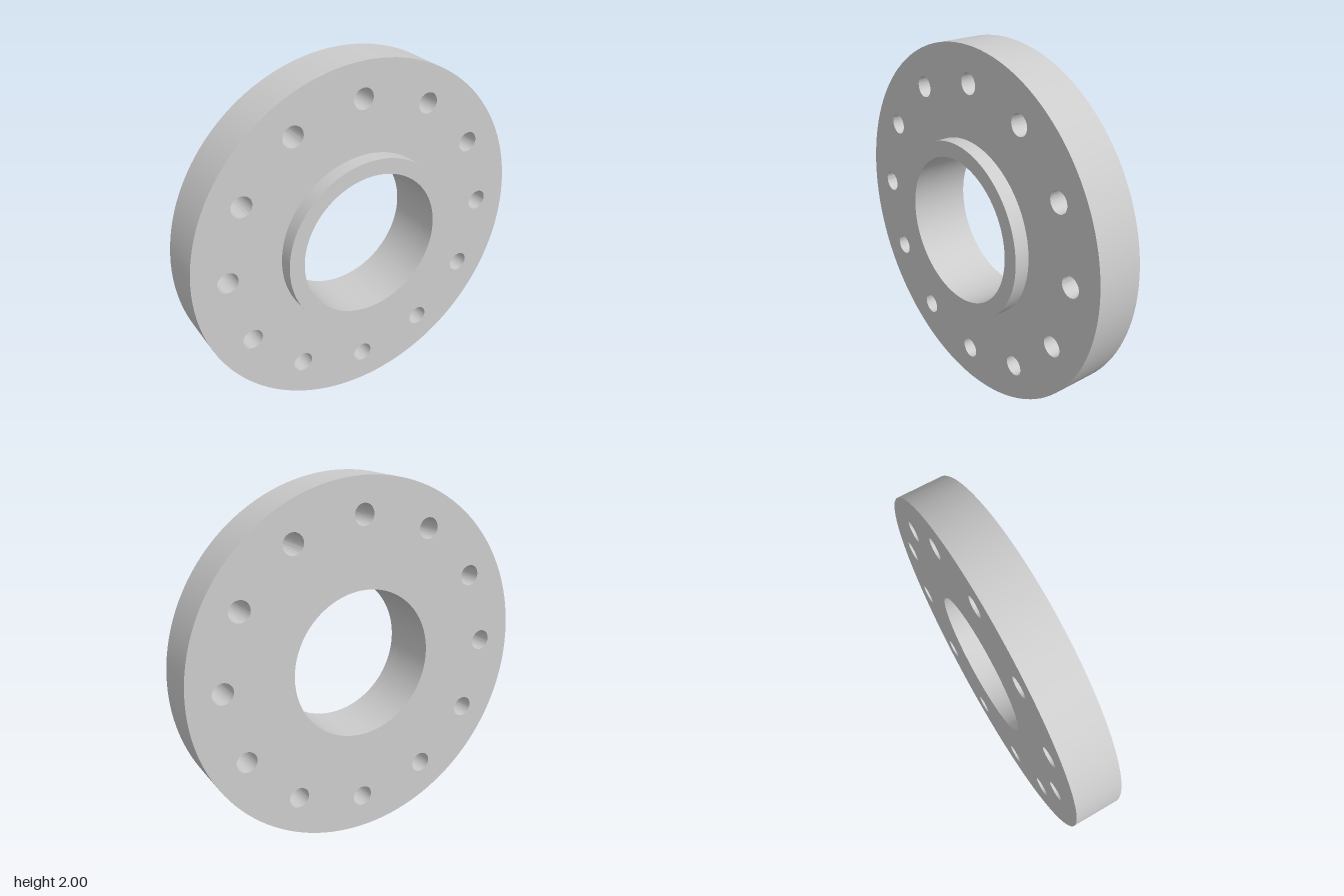
import * as THREE from 'three';
import { toCreasedNormals } from 'three/addons/utils/BufferGeometryUtils.js';

const OUTER = 1, BORE = 0.413, HUB = 0.5;
const BACK = -0.172, FACE = 0.088, FRONT = 0.172;
const BOLT_CIRCLE = 0.805, BOLT_RADIUS = 0.058, BOLTS = 12;

const material = new THREE.MeshStandardMaterial({ color: 0xcccccc });

function circle(PathType, x, y, radius) {
  const path = new PathType();
  path.absarc(x, y, radius, 0, Math.PI * 2, false);
  return path;
}

function addPart(group, name, geometry) {
  const mesh = new THREE.Mesh(toCreasedNormals(geometry, Math.PI / 6), material);
  mesh.name = name;
  mesh.position.y = OUTER;
  group.add(mesh);
}

export function createModel() {
  const group = new THREE.Group();
  group.name = 'pipeFlange';

  // Flange plate: disc with central bore and a ring of bolt holes
  const disc = circle(THREE.Shape, 0, 0, OUTER);
  disc.holes.push(circle(THREE.Path, 0, 0, BORE));
  for (let i = 0; i < BOLTS; i++) {
    const a = (i / BOLTS) * Math.PI * 2;
    disc.holes.push(circle(THREE.Path, BOLT_CIRCLE * Math.cos(a), BOLT_CIRCLE * Math.sin(a), BOLT_RADIUS));
  }
  const plate = new THREE.ExtrudeGeometry(disc, { depth: FACE - BACK, bevelEnabled: false, curveSegments: 64 });
  plate.translate(0, 0, BACK);
  addPart(group, 'flangePlate', plate);

  // Raised hub: outer wall, front face and bore wall, open where it meets the plate
  const profile = [[HUB, FACE], [HUB, FRONT], [BORE, FRONT], [BORE, FACE]].map(([r, z]) => new THREE.Vector2(r, z));
  const hub = new THREE.LatheGeometry(profile, 128);
  hub.rotateX(Math.PI / 2);
  addPart(group, 'raisedHub', hub);

  return group;
}
